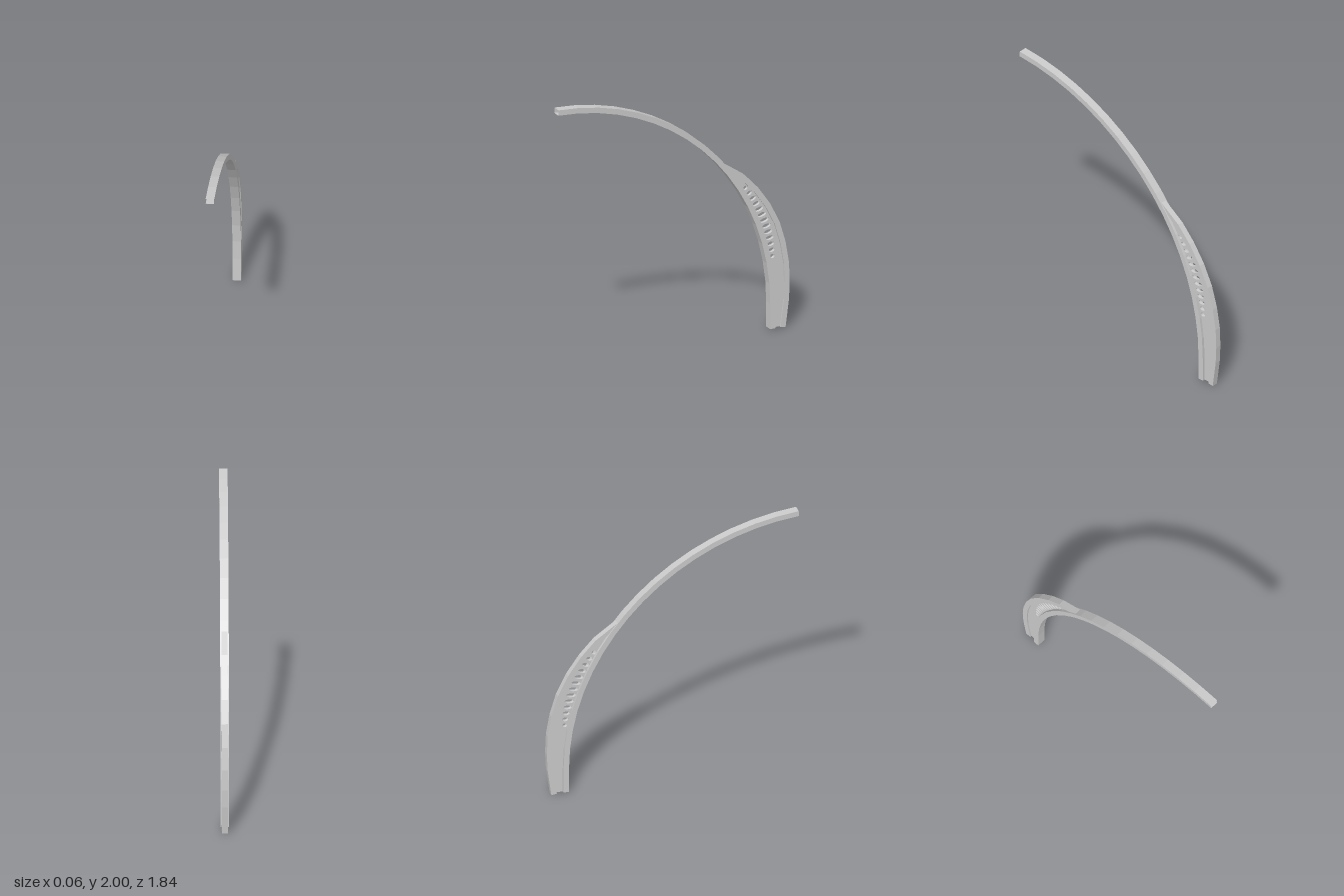
import * as THREE from 'three';

const material = new THREE.MeshStandardMaterial({ color: 0xcccccc, flatShading: true, side: THREE.DoubleSide });
const CENTRE = new THREE.Vector2(1, 0.2); // arc centre, as (z, y)

// Point on the arch arc at an angle measured from straight up towards the back
function arcPoint(radius, angle) {
  return new THREE.Vector2(CENTRE.x - radius * Math.sin(angle), CENTRE.y + radius * Math.cos(angle));
}

// Open-ended rectangular tube between an outer and an inner (z, y) profile
function hollowBar(name, outer, inner, halfWidth) {
  const pos = [];
  const ring = (i) => [
    [halfWidth, outer[i].y, outer[i].x], [-halfWidth, outer[i].y, outer[i].x],
    [-halfWidth, inner[i].y, inner[i].x], [halfWidth, inner[i].y, inner[i].x],
  ];
  for (let i = 0; i < outer.length - 1; i++) {
    const a = ring(i), b = ring(i + 1);
    for (let k = 0; k < 4; k++) {
      const n = (k + 1) % 4;
      pos.push(...a[k], ...a[n], ...b[n], ...a[k], ...b[n], ...b[k]);
    }
  }
  const geometry = new THREE.BufferGeometry();
  geometry.setAttribute('position', new THREE.Float32BufferAttribute(pos, 3));
  geometry.computeVertexNormals();
  const mesh = new THREE.Mesh(geometry, material);
  mesh.name = name;
  return mesh;
}

// Shift a profile sideways by a distance along its averaged normals
function offset(points, distance) {
  return points.map((p, i) => {
    const a = points[Math.max(i - 1, 0)], b = points[Math.min(i + 1, points.length - 1)];
    const t = b.clone().sub(a).normalize();
    return new THREE.Vector2(p.x - t.y * distance, p.y + t.x * distance);
  });
}

export function createModel() {
  const group = new THREE.Group();
  group.name = 'curvedRib';

  // Main arch: tube from the front tip back and down to a short straight foot
  const segments = 17, start = 0.0445;
  const arc = (radius) => {
    const pts = [];
    for (let i = 0; i <= segments; i++) {
      pts.push(arcPoint(radius, start + (Math.PI / 2 - start) * i / segments));
    }
    pts.push(new THREE.Vector2(CENTRE.x - radius, 0.01));
    return pts;
  };
  group.add(hollowBar('archTube', arc(1.797), arc(1.757), 0.03));

  // Rear brace: narrower tube leaving the arch and running down behind it
  const braceOuter = [
    [-0.374, 1.341], [-0.56, 1.209], [-0.666, 1.093], [-0.761, 0.955], [-0.836, 0.802],
    [-0.883, 0.643], [-0.91, 0.484], [-0.916, 0.336], [-0.91, 0.204], [-0.883, 0],
  ].map(([z, y]) => new THREE.Vector2(z, y));
  const braceInner = offset(braceOuter, 0.04);
  braceInner[0].set(-0.4, 1.3); // end tucked inside the arch
  group.add(hollowBar('braceTube', braceOuter, braceInner, 0.0215));

  // Web plate between arch and brace
  const edge = [];
  for (let i = 0; i <= 10; i++) edge.push(arcPoint(1.785, Math.PI / 2 - 0.66 * i / 10));
  const outline = [new THREE.Vector2(CENTRE.x - 1.785, 0.01), ...edge, ...offset(braceOuter, 0.036).slice(1)];
  outline[outline.length - 1].y = 0.01;
  const web = new THREE.Shape(outline);

  // Row of slanted oval holes, longest in the middle
  const row = new THREE.QuadraticBezierCurve(
    new THREE.Vector2(-0.57, 1.106), new THREE.Vector2(-0.7615, 0.838), new THREE.Vector2(-0.783, 0.55));
  for (let i = 0; i < 13; i++) {
    const t = i / 12, c = row.getPoint(t);
    const length = 0.019 + 0.018 * Math.sin(Math.PI * t);
    const tilt = Math.atan2(c.y - 0.5, c.x - CENTRE.x);
    const hole = new THREE.Path();
    hole.absellipse(c.x, c.y, length, 0.016, 0, Math.PI * 2, true, tilt);
    web.holes.push(hole);
  }
  const depth = 0.022;
  const webGeometry = new THREE.ExtrudeGeometry(web, { depth, bevelEnabled: false, curveSegments: 8 });
  webGeometry.translate(0, 0, -depth / 2).rotateY(-Math.PI / 2);
  const webMesh = new THREE.Mesh(webGeometry, material);
  webMesh.name = 'perforatedWeb';
  group.add(webMesh);

  return group;
}
